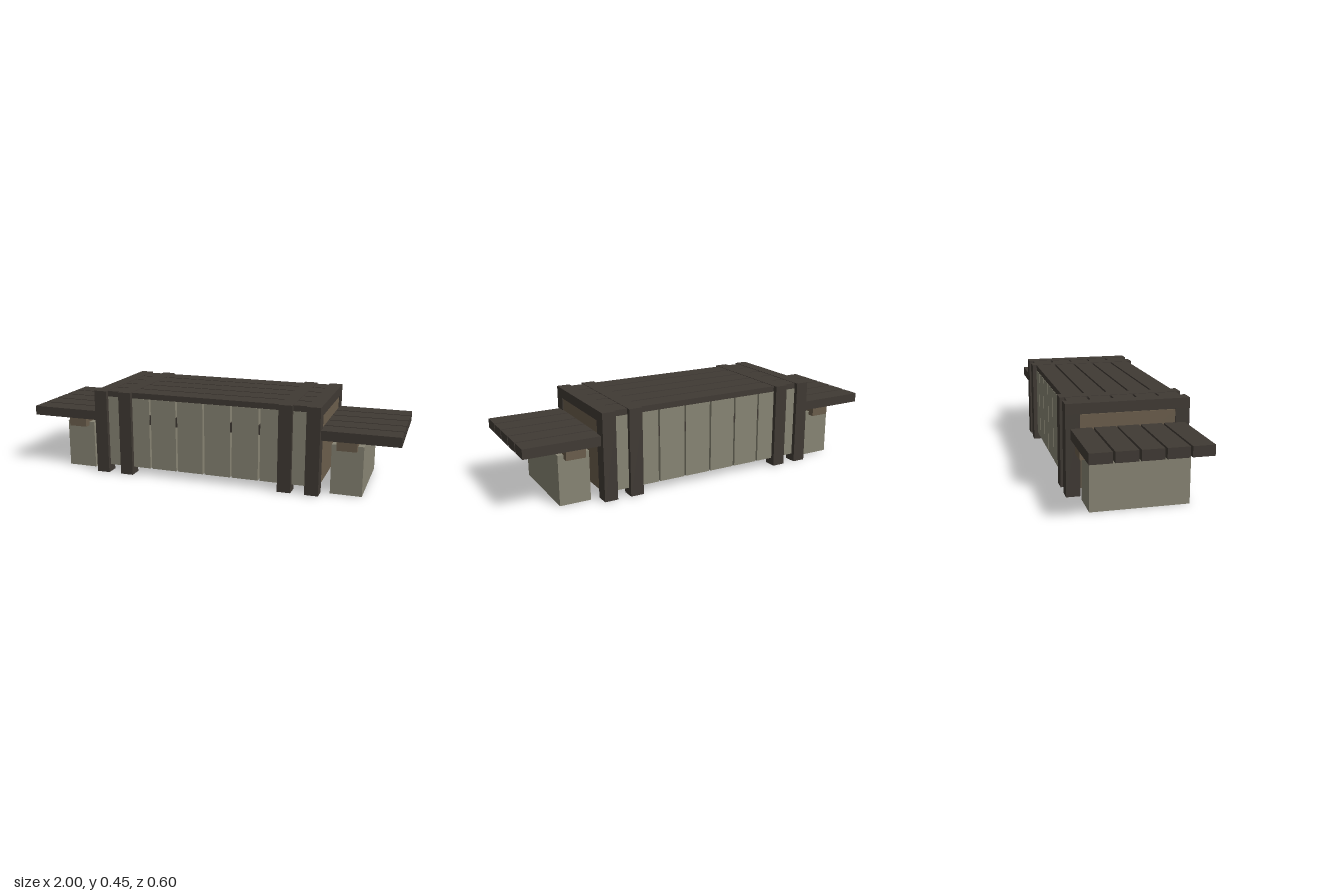
import * as THREE from 'three';

const mat = (name, color) => {
  const m = new THREE.MeshStandardMaterial({ color });
  m.name = name;
  return m;
};

export function createModel() {
  const model = new THREE.Group();
  model.name = 'slattedTableWithBenches';
  const darkWood = mat('darkWood', 0x403a34);
  const brownWood = mat('brownWood', 0x6b5e4c);
  const concrete = mat('concrete', 0x888574);

  // Box given by its minimum and maximum on each axis
  const box = (name, material, x0, x1, y0, y1, z0, z1) => {
    const mesh = new THREE.Mesh(new THREE.BoxGeometry(x1 - x0, y1 - y0, z1 - z0), material);
    mesh.position.set((x0 + x1) / 2, (y0 + y1) / 2, (z0 + z1) / 2);
    mesh.name = name;
    model.add(mesh);
  };
  // Box centred on x and z
  const block = (name, material, x, width, y0, y1, z, depth) =>
    box(name, material, x - width / 2, x + width / 2, y0, y1, z - depth / 2, z + depth / 2);

  for (const side of [-1, 1]) {
    // Portal frames with infill panels
    for (const x of [0.437, 0.578]) {
      for (const z of [-0.267, 0.267]) block('frameLeg', darkWood, side * x, 0.07, 0, 0.4, z, 0.07);
      block('frameBeam', darkWood, side * x, 0.07, 0.4, 0.452, 0, 0.604);
      block('endPanel', brownWood, side * x, 0.06, 0.04, 0.397, 0, 0.464);
    }
    // Bench footing and its cross beam
    block('benchFooting', concrete, side * 0.74, 0.16, 0, 0.257, 0, 0.474);
    block('benchBeam', brownWood, side * 0.74, 0.1, 0.237, 0.283, 0, 0.544);
    // Facing boards on front and back
    for (let i = 0; i < 8; i++) {
      const width = i === 0 || i === 7 ? 0.09 : 0.14;
      const x = i === 0 ? -0.5 : i === 7 ? 0.5 : -0.525 + i * 0.15;
      block('facingBoard', concrete, x, width, 0.04, 0.42, side * 0.26, 0.04);
    }
  }

  // Five slats across the table top and both benches
  for (let i = -2; i <= 2; i++) {
    const z = i * 0.1135;
    block('tableSlat', darkWood, 0, 1.1, 0.42, 0.45, z, 0.103);
    for (const side of [-1, 1]) block('benchSlat', darkWood, side * 0.55, 0.9, 0.283, 0.333, z, 0.103);
  }
  return model;
}
